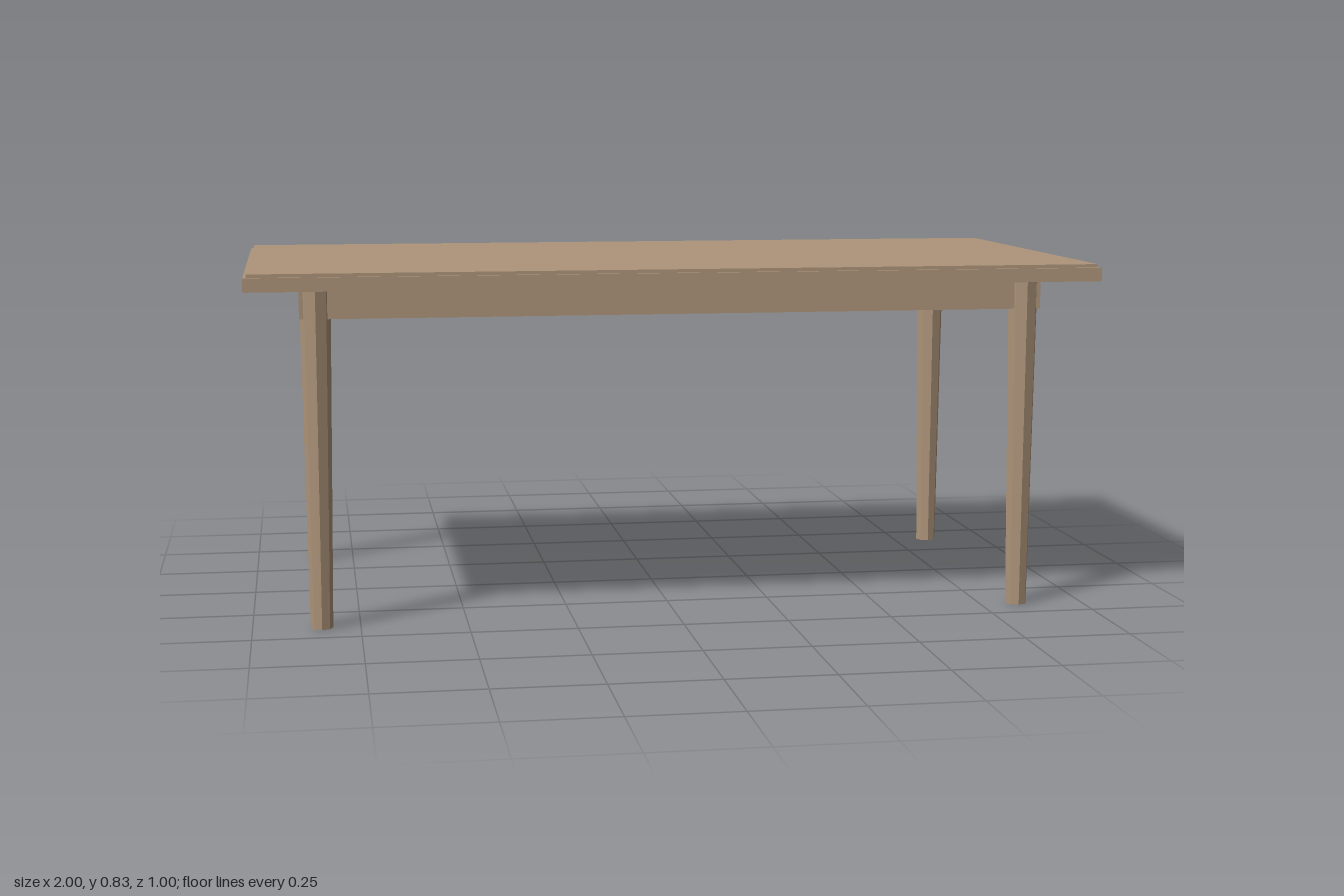
import * as THREE from 'three';

export function createModel() {
  const table = new THREE.Group();
  table.name = 'table';
  const wood = new THREE.MeshStandardMaterial({ name: 'wood', color: 0xae957a, flatShading: true });

  const add = (name, geometry, x, y, z) => {
    const mesh = new THREE.Mesh(geometry, wood);
    mesh.name = name;
    mesh.position.set(x, y, z);
    table.add(mesh);
  };
  // Box given by its width, depth and bottom and top heights
  const slab = (name, w, d, y0, y1) =>
    add(name, new THREE.BoxGeometry(w, y1 - y0, d), 0, (y0 + y1) / 2, 0);

  // Table top with a slightly smaller layer on it
  slab('tableTop', 2, 1, 0.794, 0.826);
  slab('topLayer', 1.984, 0.984, 0.826, 0.834);

  // Solid apron, with a narrow gap below the top
  slab('apron', 1.754, 0.84, 0.724, 0.789);

  // Tapered eight-sided legs
  const legHeight = 0.794;
  const leg = new THREE.CylinderGeometry(0.036, 0.026, legHeight, 8);
  for (const x of [-1, 1]) {
    for (const z of [-1, 1]) {
      add(`${z > 0 ? 'front' : 'back'}${x > 0 ? 'Left' : 'Right'}Leg`, leg, x * 0.84, legHeight / 2, z * 0.4);
    }
  }
  return table;
}
